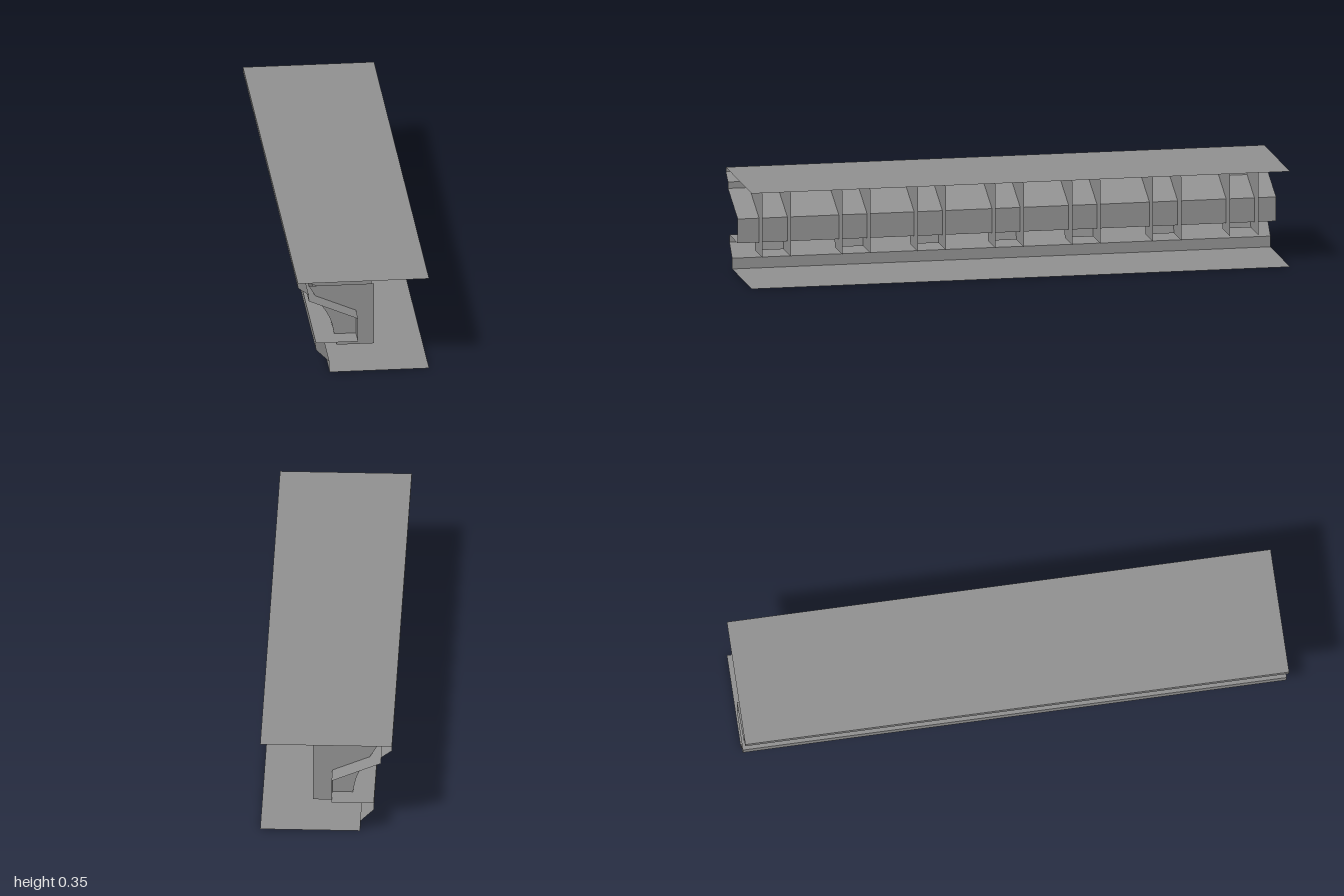
import * as THREE from 'three';

const grey = new THREE.MeshStandardMaterial({ color: 0x909090, side: THREE.DoubleSide });
grey.name = 'plainGrey';

// Sheet swept along z from an [x, y] profile, one flat facet per segment
function sheet(name, profile, z0, z1) {
  const pos = [];
  for (let i = 0; i < profile.length - 1; i++) {
    const [ax, ay] = profile[i], [bx, by] = profile[i + 1];
    pos.push(bx, by, z0, bx, by, z1, ax, ay, z1);
    pos.push(bx, by, z0, ax, ay, z1, ax, ay, z0);
  }
  const geo = new THREE.BufferGeometry();
  geo.setAttribute('position', new THREE.Float32BufferAttribute(pos, 3));
  geo.computeVertexNormals();
  const mesh = new THREE.Mesh(geo, grey);
  mesh.name = name;
  return mesh;
}

// Curved corbel: two cheeks and a front face, open at the back
function corbel() {
  const group = new THREE.Group();
  const half = 0.0525;
  const front = [[-0.193, 0.31], [-0.125, 0.199], [-0.116, 0.182], [-0.109, 0.162], [-0.104, 0.14], [-0.091, 0.073]];
  const outline = [...front, [0.047, 0.073], [0.047, 0.31]];
  const shape = new THREE.Shape(outline.map(([x, y]) => new THREE.Vector2(x, y)));
  for (const side of [-1, 1]) {
    const cheek = new THREE.Mesh(new THREE.ShapeGeometry(shape), grey);
    cheek.position.z = side * half;
    cheek.name = 'corbelCheek';
    group.add(cheek);
  }
  group.add(sheet('corbelFront', front, -half, half));
  group.name = 'corbel';
  return group;
}

export function createModel() {
  const model = new THREE.Group();
  model.name = 'cornice';

  // Long strips, from the top board down to the bottom board
  const strips = {
    topBoard: [[0.24, 0.355], [-0.24, 0.355]],
    upperMoulding: [[-0.24, 0.355], [-0.24, 0.338], [-0.2, 0.308], [-0.2, 0.284]],
    slopedSoffit: [[-0.2, 0.284], [-0.02, 0.207]],
    frieze: [[-0.02, 0.207], [-0.02, 0.117]],
    ledge: [[-0.02, 0.117], [-0.174, 0.117]],
    lowerMoulding: [[-0.174, 0.117], [-0.174, 0.09], [-0.124, 0.04], [-0.124, 0]],
    bottomBoard: [[-0.124, 0], [0.24, 0]],
  };
  for (const [name, profile] of Object.entries(strips)) model.add(sheet(name, profile, -1, 1));

  // Row of corbels; the rearmost sits slightly higher
  const centres = [0.868, 0.572, 0.292, 0.003, -0.282, -0.582, -0.867];
  centres.forEach((z, i) => {
    const c = corbel();
    const last = i === centres.length - 1;
    c.position.set(last ? 0.003 : 0, last ? 0.01 : 0, z);
    model.add(c);
  });
  return model;
}
